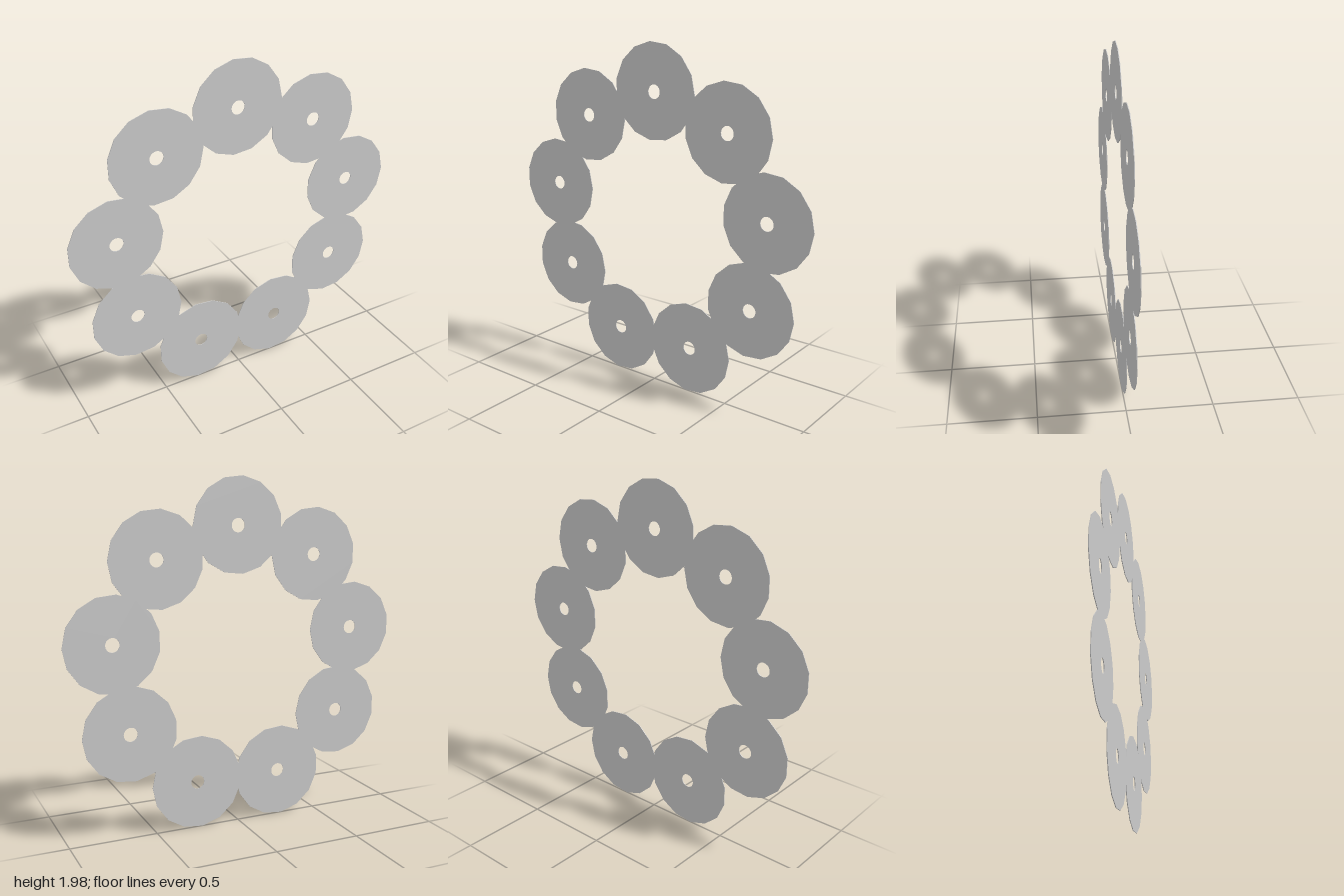
import * as THREE from 'three';

const COUNT = 9;           // discs around the ring
const RING_RADIUS = 0.744; // ring centre to disc centre
const CENTER = new THREE.Vector2(-0.003, 0.968);
const THICKNESS = 0.004;

// corners of a regular polygon, first corner on +x
function polygon(radius, sides) {
  return Array.from({ length: sides }, (_, i) => {
    const a = (i / sides) * Math.PI * 2;
    return new THREE.Vector2(radius * Math.cos(a), radius * Math.sin(a));
  });
}

export function createModel() {
  const group = new THREE.Group();
  group.name = 'discRing';
  const material = new THREE.MeshStandardMaterial({ color: 0xcccccc, flatShading: true });

  // thin fifteen-sided disc with a round centre hole
  const shape = new THREE.Shape(polygon(0.27, 15));
  shape.holes.push(new THREE.Path(polygon(0.04, 20)));
  const geometry = new THREE.ExtrudeGeometry(shape, { depth: THICKNESS, bevelEnabled: false });
  geometry.translate(0, 0, -THICKNESS / 2);

  // discs around the ring, all keeping the same orientation
  for (let i = 0; i < COUNT; i++) {
    const a = Math.PI / 2 + (i / COUNT) * Math.PI * 2;
    const disc = new THREE.Mesh(geometry, material);
    disc.name = `disc${i + 1}`;
    disc.position.set(CENTER.x + RING_RADIUS * Math.cos(a), CENTER.y + RING_RADIUS * Math.sin(a), 0);
    group.add(disc);
  }
  return group;
}
